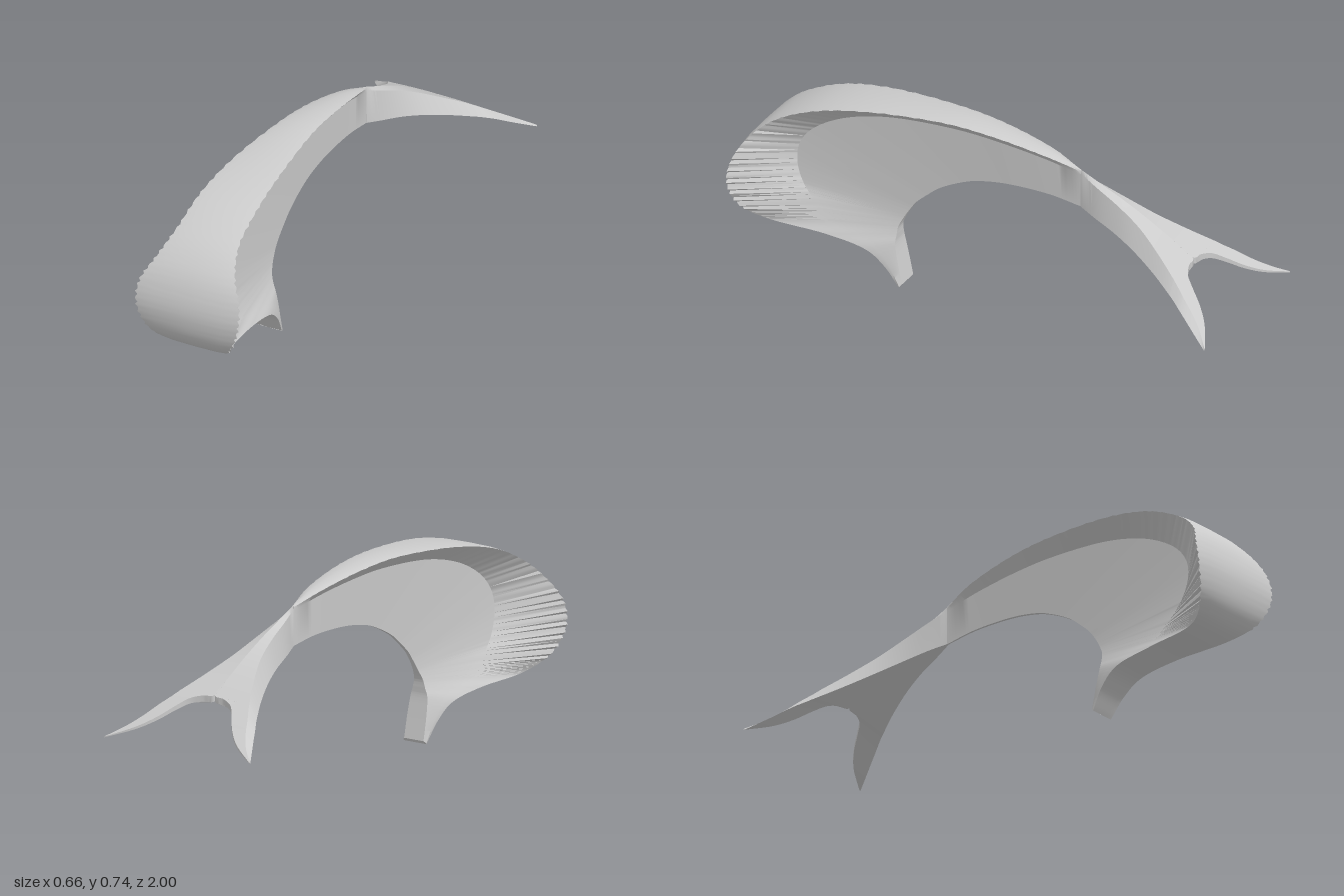
import * as THREE from 'three';
import { toCreasedNormals } from 'three/addons/utils/BufferGeometryUtils.js';

const material = new THREE.MeshStandardMaterial({ color: 0xcccccc, side: THREE.DoubleSide });

// Smoothly lofts closed rings of Vector3 into a capped solid.
function loft(name, rings, steps, crease, adjust) {
  const n = rings[0].length;
  const rails = rings[0].map((_, j) =>
    new THREE.CatmullRomCurve3(rings.map((r) => r[j]), false, 'catmullrom', 0.5));
  const positions = [];
  const index = [];
  for (let i = 0; i <= steps; i++) {
    for (let j = 0; j < n; j++) {
      const p = rails[j].getPoint(i / steps);
      if (adjust) adjust(p, i, j);
      positions.push(p.x, p.y, p.z);
      if (i === steps) continue;
      const a = i * n + j;
      const b = i * n + ((j + 1) % n);
      index.push(a, b, b + n, a, b + n, a + n);
    }
  }
  const last = steps * n;
  for (let j = 1; j < n - 1; j++) {
    index.push(0, j + 1, j, last, last + j, last + j + 1);
  }
  const geometry = new THREE.BufferGeometry();
  geometry.setAttribute('position', new THREE.Float32BufferAttribute(positions, 3));
  geometry.setIndex(index);
  const mesh = new THREE.Mesh(toCreasedNormals(geometry, crease), material);
  mesh.name = name;
  return mesh;
}

// Curved body: outer z, y; inner z, y; half widths of band, web, inner edge; band depth.
const bodySections = [
  [0.38, 0.0, 0.37, 0.012, 0.05, 0.052, 0.044, 0.005],
  [0.435, 0.08, 0.388, 0.1, 0.062, 0.06, 0.043, 0.02],
  [0.515, 0.135, 0.4, 0.165, 0.07, 0.062, 0.038, 0.045],
  [0.675, 0.16, 0.4, 0.198, 0.076, 0.058, 0.028, 0.11],
  [0.88, 0.178, 0.397, 0.23, 0.1, 0.052, 0.02, 0.22],
  [0.97, 0.24, 0.382, 0.262, 0.16, 0.042, 0.013, 0.26],
  [1.0, 0.34, 0.367, 0.288, 0.204, 0.035, 0.01, 0.23],
  [0.985, 0.44, 0.35, 0.314, 0.204, 0.03, 0.008, 0.19],
  [0.935, 0.53, 0.327, 0.344, 0.16, 0.026, 0.008, 0.155],
  [0.84, 0.61, 0.287, 0.38, 0.127, 0.024, 0.007, 0.13],
  [0.68, 0.68, 0.237, 0.42, 0.117, 0.022, 0.007, 0.105],
  [0.47, 0.72, 0.16, 0.46, 0.1, 0.02, 0.006, 0.08],
  [0.2, 0.735, 0.08, 0.488, 0.073, 0.016, 0.006, 0.06],
  [0.0, 0.72, -0.04, 0.505, 0.057, 0.014, 0.005, 0.05],
  [-0.2, 0.68, -0.2, 0.505, 0.034, 0.009, 0.004, 0.035],
  [-0.33, 0.635, -0.33, 0.487, 0.004, 0.004, 0.003, 0.02],
];

// Section: nearly flat wide band, sloping under to a thin web.
function bodyRing([oz, oy, iz, iy, w, web, wi, depth]) {
  const outer = new THREE.Vector3(0, oy, oz);
  const inner = new THREE.Vector3(0, iy, iz);
  const length = outer.distanceTo(inner);
  const point = (x, d) => outer.clone().lerp(inner, d / length).setX(x);
  const half = [[w * 0.7, 0.002], [w, 0.008 * Math.min(1, length * 5)], [web, depth], [wi, length]];
  return [
    point(0, 0),
    ...half.map(([x, d]) => point(x, d)),
    ...half.slice().reverse().map(([x, d]) => point(-x, d)),
  ];
}

// Forked tail, one side: z, top y, bottom y, inner x, outer x.
const tailSections = [
  [-0.33, 0.635, 0.487, 0, 0.004],
  [-0.4, 0.602, 0.47, 0, 0.03],
  [-0.5, 0.555, 0.443, 0, 0.06],
  [-0.6, 0.502, 0.41, 0, 0.098],
  [-0.7, 0.442, 0.372, 0, 0.146],
  [-0.78, 0.392, 0.339, 0, 0.192],
  [-0.79, 0.385, 0.335, 0.045, 0.198],
  [-0.81, 0.371, 0.326, 0.093, 0.21],
  [-0.85, 0.343, 0.307, 0.13, 0.237],
  [-0.9, 0.307, 0.279, 0.172, 0.268],
  [-0.95, 0.271, 0.252, 0.232, 0.3],
  [-1.0, 0.233, 0.226, 0.325, 0.332],
];

// Top sheet with a sloping outer wall and an underside that arches towards the fork.
function tailRing([z, top, bottom, xi, xo], side) {
  const lip = Math.min(0.035, (xo - xi) * 0.4);
  const arch = THREE.MathUtils.clamp((-z - 0.33) * 1.2, 0, 0.55);
  const ring = [
    [xi, top],
    [xo - lip, top - (top - bottom) * 0.1],
    [xo, bottom],
    [xi, bottom + (top - bottom) * arch],
  ].map(([x, y]) => new THREE.Vector3(x * side, y, z));
  return side > 0 ? ring : ring.reverse();
}

export function createModel() {
  const model = new THREE.Group();
  model.name = 'curvedForkedForm';

  // Irregular ribs along both rims of the outer band
  const ribs = (p, i, j) => {
    if (i > 45 && (j === 2 || j === 7)) p.x *= 1 + 0.03 * Math.sin(i * 2.4);
  };
  model.add(loft('curvedBody', bodySections.map(bodyRing), 150, 0.6, ribs));

  // Mirrored halves of the tail
  for (const side of [1, -1]) {
    const rings = tailSections.map((s) => tailRing(s, side));
    model.add(loft(side > 0 ? 'leftTailFork' : 'rightTailFork', rings, 66, 0.6));
  }
  return model;
}
